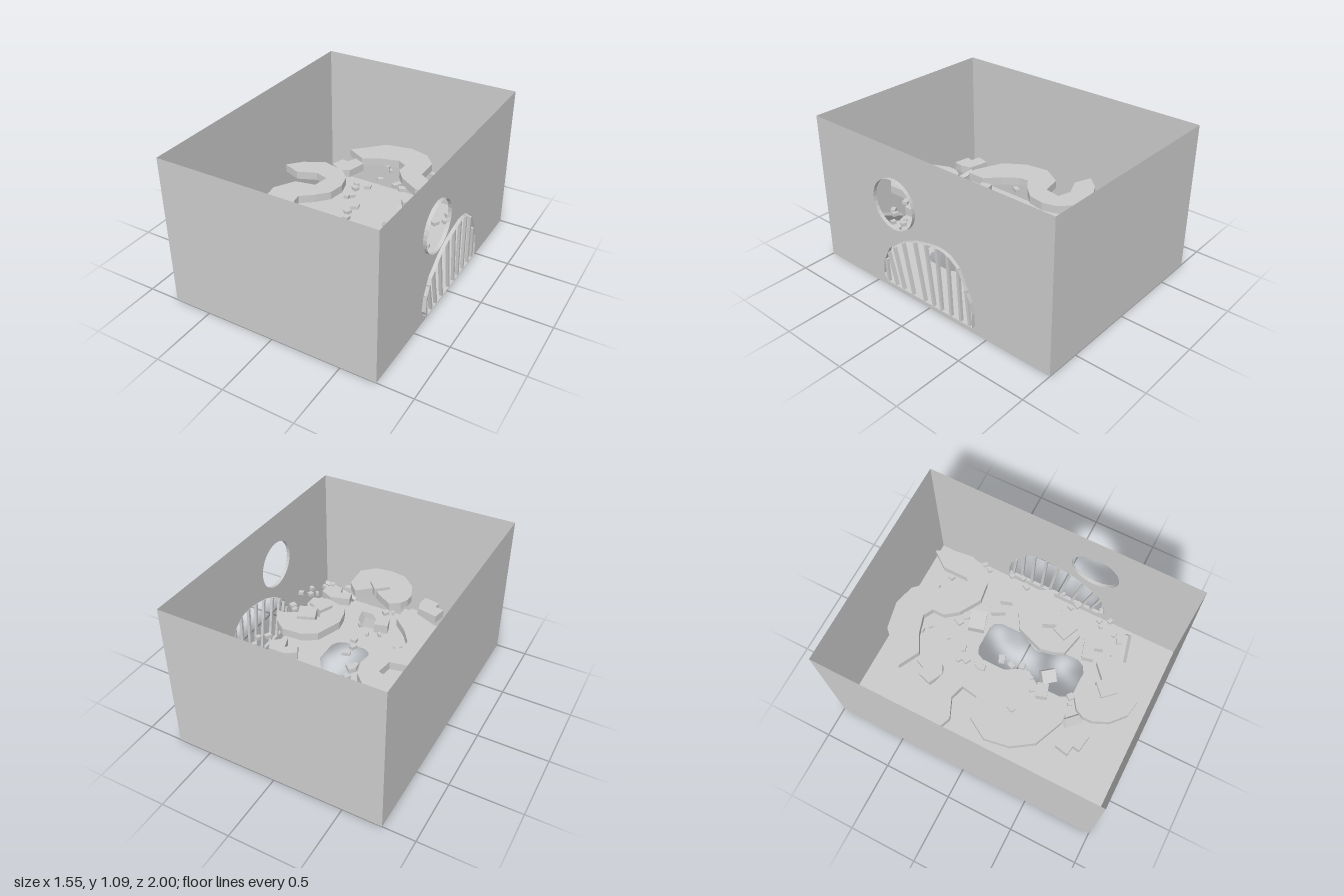
import * as THREE from 'three';

export function createModel() {
  const model = new THREE.Group();
  const mat = new THREE.MeshStandardMaterial({ color: 0xcccccc, flatShading: true, side: THREE.DoubleSide });
  const V = (x, y) => new THREE.Vector2(x, y);
  const add = (name, geometry, x = 0, y = 0, z = 0, parent = model) => {
    const mesh = new THREE.Mesh(geometry, mat);
    mesh.name = name;
    mesh.position.set(x, y, z);
    parent.add(mesh);
    return mesh;
  };
  // Outlines are [x, z] pairs in hundredths of a unit
  const plan = pts => pts.map(([x, z]) => V(x / 100, -z / 100));
  const slab = (name, pts, y, h) => add(name, new THREE.ExtrudeGeometry(new THREE.Shape(plan(pts)),
    { depth: h, bevelEnabled: false }).rotateX(-Math.PI / 2), 0, y, 0);

  // Room shell: x from L to R, open top
  const L = -0.775, R = 0.75, H = 1.09, W = R - L, C = (L + R) / 2;
  for (const s of [-1, 1]) {
    const wall = add(s > 0 ? 'frontWall' : 'backWall', new THREE.PlaneGeometry(W, H), C, H / 2, s);
    if (s < 0) wall.rotation.y = Math.PI;
  }
  add('rightWall', new THREE.PlaneGeometry(2, H).rotateY(-Math.PI / 2), L, H / 2, 0);

  // Floor with hourglass opening
  const floor = new THREE.Shape([V(L, -1), V(R, -1), V(R, 1), V(L, 1)]);
  const side = [[11, -34], [6, -32], [3.5, -27], [3.5, -9], [11, 5], [11, 9], [3.5, 20], [3.5, 38], [6, 43], [11, 46]];
  const opening = side.concat(side.map(([x, z]) => [39.5 - x, z]).reverse());
  floor.holes.push(new THREE.Path(plan(opening)));
  add('floor', new THREE.ShapeGeometry(floor).rotateX(-Math.PI / 2));

  // Window wall, drawn with u = -z and v = y
  const arch = [[-0.37, 0.06], [-0.405, 0.11], [-0.39, 0.22], [-0.33, 0.34], [-0.2, 0.44], [-0.09, 0.49], [0.02, 0.515],
    [0.1, 0.528], [0.16, 0.525], [0.22, 0.508], [0.29, 0.455], [0.35, 0.33], [0.39, 0.24], [0.405, 0.16], [0.405, 0.06]]
    .map(p => V(...p));
  const circle = new THREE.Path().absarc(-0.265, 0.69, 0.18, 0, Math.PI * 2).getPoints(16);
  const wall = new THREE.Shape([V(-1, 0), V(1, 0), V(1, H), V(-1, H)]);
  wall.holes.push(new THREE.Path(arch), new THREE.Path(circle));
  add('windowWall', new THREE.ShapeGeometry(wall).rotateY(Math.PI / 2), R, 0, 0);

  // Thin window rims standing out from the wall
  const rim = (name, pts) => {
    const pos = [], loop = [...pts, pts[0]];
    for (let i = 0; i < loop.length - 1; i++) {
      const a = loop[i], b = loop[i + 1], q = [[a, 0], [b, 0], [b, 0.025], [a, 0], [b, 0.025], [a, 0.025]];
      for (const [p, d] of q) pos.push(R + d, p.y, -p.x);
    }
    const g = new THREE.BufferGeometry();
    g.setAttribute('position', new THREE.Float32BufferAttribute(pos, 3));
    g.computeVertexNormals();
    add(name, g);
  };
  rim('archRim', arch);
  rim('roundWindowRim', circle);

  // Fanned bars: [bottom u, top u, top y]
  const bars = new THREE.Group();
  bars.name = 'windowBars';
  model.add(bars);
  [[-0.37, -0.38, 0.23], [-0.29, -0.35, 0.3], [-0.22, -0.29, 0.36], [-0.13, -0.2, 0.43], [-0.02, -0.09, 0.48],
    [0.06, 0.01, 0.505], [0.13, 0.105, 0.52], [0.215, 0.2, 0.505], [0.3, 0.285, 0.45], [0.375, 0.35, 0.32]]
    .forEach(([b, t, y]) => {
      const bar = add('bar', new THREE.BoxGeometry(0.02, Math.hypot(t - b, y - 0.06), 0.02),
        R + 0.012, (y + 0.06) / 2, -(b + t) / 2, bars);
      bar.rotation.x = -Math.atan2(t - b, y - 0.06);
    });

  // Large curved platforms
  slab('backPlatform', [[-41, -68], [-20, -89], [0, -93], [15, -89], [24, -79], [24, -61], [35, -54], [40, -57], [40, -76],
    [49, -88], [55, -77], [57, -61], [53, -50], [43, -42], [29, -40], [14, -49], [7, -58], [7, -67], [0, -71],
    [-13, -67], [-26, -60]], 0.4, 0.06);
  slab('rightPlatform', [[-71, -23], [-62, -33], [-47, -41], [-30, -37], [-22, -29], [-19, -18], [-21, -6], [-29, 3],
    [-38, 10], [-37, 17], [-29, 28], [-19, 37], [-19, 51], [-26, 51], [-47, 42], [-57, 27], [-60, 9], [-51, -6],
    [-36, -9], [-34, -21], [-44, -24], [-58, -18]], 0.4, 0.06);
  slab('leftPlatform', [[15, 14], [22, -5], [32, -11], [47, -12], [56, -5], [60, 3], [46, 11], [42, 4], [29, 9],
    [34, 20], [43, 16], [47, 23], [47, 31], [37, 35], [20, 31], [17, 24]], 0.4, 0.06);
  slab('frontPlatform', [[-16, 62], [-13, 56], [-6, 51], [6, 58], [13, 64], [24, 54], [32, 62], [33, 80], [24, 89],
    [11, 91], [-1, 89], [-11, 80], [-16, 69]], 0.4, 0.06);

  // Angular stepping blocks
  [[[-42, -43], [-39, -53], [-34, -52], [-31, -59], [-22, -55], [-26, -41], [-32, -38]],
    [[-44, 64], [-42, 54], [-27, 57], [-25, 65], [-26, 72], [-38, 70], [-37, 65]],
    [[24, -29], [32, -34], [44, -34], [48, -26], [38, -19], [35, -28], [29, -20]],
    [[23, 43], [37, 39], [46, 43], [46, 51], [35, 54], [33, 48], [25, 51]]]
    .forEach(p => slab('steppingBlock', p, 0.39, 0.06));

  // Tilted blocks and leaning slabs: size, position, rotation
  [[[0.12, 0.07, 0.12], [0.1, 0.45, 0.68], [0, 0.75, 0]],
    [[0.13, 0.07, 0.13], [0.4, 0.45, 0.11], [0, 0.4, 0]],
    [[0.13, 0.07, 0.11], [0.36, 0.45, 0.24], [0, -0.4, 0]],
    [[0.1, 0.07, 0.08], [-0.11, 0.42, 0.29], [0, 0.3, 0]],
    [[0.09, 0.07, 0.1], [0, 0.44, 0.28], [0.2, 0.7, 0.3]],
    [[0.14, 0.1, 0.12], [0.22, 0.21, -0.4], [0.1, 0.3, 0.1]],
    [[0.27, 0.03, 0.05], [0.45, 0.3, 0.68], [1.1, 0.55, 0]],
    [[0.15, 0.03, 0.06], [-0.2, 0.41, 0.57], [0.7, -0.8, 0]]]
    .forEach(([s, p, r]) => add('tiltedBlock', new THREE.BoxGeometry(...s), ...p).rotation.set(...r));

  // Scattered pebbles, [x, z] in hundredths
  let seed = 7;
  const rnd = () => (seed = (seed * 16807) % 2147483647) / 2147483647;
  const pebbles = new THREE.Group();
  pebbles.name = 'pebbles';
  model.add(pebbles);
  [[-3, -64], [-8, -68], [-4, -49], [-7, -35], [-14, -29], [-14, -17], [-3, 1], [0, 8], [-2, -7], [-31, 15], [56, -47],
    [59, -30], [61, -22], [56, -17], [63, 10], [51, 12], [60, 23], [56, 19], [56, 42], [59, 49], [63, 40], [51, 56],
    [34, 63], [48, 61], [16, -45], [-16, -34], [4, 26], [-5, 48], [-10, 50], [-13, 22], [27, -75], [38, -69], [10, -48],
    [-12, -20], [-5, 18], [52, 45], [33, -57], [58, -52]]
    .forEach(([x, z]) => {
      const s = 0.02 + 0.025 * rnd();
      add('pebble', new THREE.BoxGeometry(s, 0.025, s * (1 + rnd() * 0.6)), x / 100, 0.395, z / 100, pebbles)
        .rotation.y = rnd() * 3;
    });
  return model;
}
